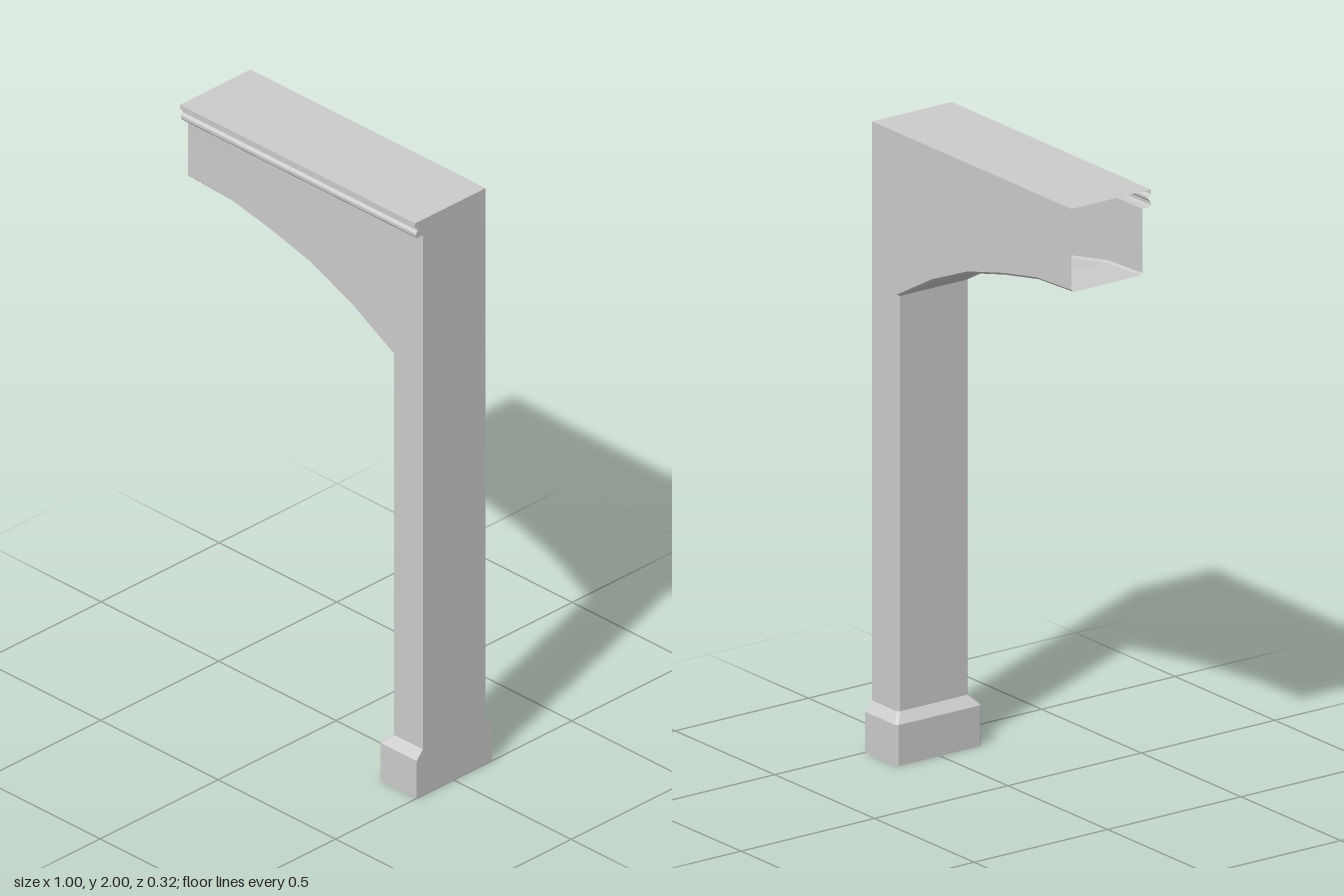
import * as THREE from 'three';

const ZF = 0.13, ZB = -0.135;   // front and back wall planes
const C = 0.007;                // small edge bevel
const X0 = -0.5, X1 = 0.5;

const material = new THREE.MeshStandardMaterial({
  color: 0xcccccc, flatShading: true, side: THREE.DoubleSide,
});

function part(name, geometry) {
  const mesh = new THREE.Mesh(geometry, material);
  mesh.name = name;
  return mesh;
}

// Open surface through rows of [x, y, z] points
function loft(rows) {
  const pos = [];
  for (let i = 0; i < rows.length - 1; i++) {
    for (let j = 0; j < rows[i].length - 1; j++) {
      const a = rows[i][j], b = rows[i][j + 1];
      const c = rows[i + 1][j + 1], d = rows[i + 1][j];
      pos.push(...a, ...b, ...c, ...a, ...c, ...d);
    }
  }
  const g = new THREE.BufferGeometry();
  g.setAttribute('position', new THREE.Float32BufferAttribute(pos, 3));
  g.computeVertexNormals();
  return g;
}

function flat(points) {
  return new THREE.ShapeGeometry(new THREE.Shape(points.map(([x, y]) => new THREE.Vector2(x, y))));
}

export function createModel() {
  const group = new THREE.Group();
  group.name = 'halfArch';

  // Arch curve, then down the inner face of the pillar
  const edge = [[-0.5, 1.735], [-0.325, 1.727], [-0.155, 1.694], [0.02, 1.65],
    [0.2, 1.575], [0.37, 1.48], [0.37, 0.16]];
  const inset = edge.map(([x, y], i) => (i < 5 ? [x, y + C] : i === 5 ? [x + C, y + C / 2] : [x + C, y]));

  // Soffit and inner pillar face with bevelled edges
  const at = (pts, z) => pts.map(([x, y]) => [x, y, z]);
  group.add(part('archSoffit', loft([
    at(inset, ZB), at(edge, ZB + C), at(edge, ZF - C), at(inset, ZF)])));

  // Front and back walls; the front one stops below the cornice
  const wall = (top) => [...inset, [X1, 0.16], [X1, top], [X0, top]];
  group.add(part('frontWall', flat(wall(1.945)).translate(0, 0, ZF)));
  group.add(part('backWall', flat(wall(2).map(([x, y]) => [-x, y])).rotateY(Math.PI).translate(0, 0, ZB)));

  // Top and moulded cornice, as one profile of [z, y]
  const cornice = [[0.163, 2], [0.163, 1.985], [0.152, 1.977], [0.152, 1.97],
    [0.16, 1.962], [0.16, 1.952], [0.155, 1.945], [ZF, 1.945]];
  const profile = [[ZB, 2], ...cornice];
  group.add(part('topAndCornice', loft([X0, X1].map((x) => profile.map(([z, y]) => [x, y, z])))));

  // Plinth with a sloped shoulder, open underneath
  const plan = (x, zf, zb, y) => [[X1, y, zf], [x + C, y, zf], [x, y, zf - C],
    [x, y, zb + C], [x + C, y, zb], [X1, y, zb]];
  const PF = 0.157, PB = -0.162;
  group.add(part('plinth', loft([
    plan(0.37, ZF, ZB, 0.16), plan(0.34, PF, PB, 0.13), plan(0.34, PF, PB, 0)])));

  // Flat outer side covering pillar, plinth and cornice ends
  const side = [[PB, 0], [PB, 0.13], [ZB, 0.16], ...profile, [ZF, 0.16], [PF, 0.13], [PF, 0]];
  group.add(part('outerSide', flat(side.map(([z, y]) => [-z, y])).rotateY(Math.PI / 2).translate(X1, 0, 0)));

  return group;
}
